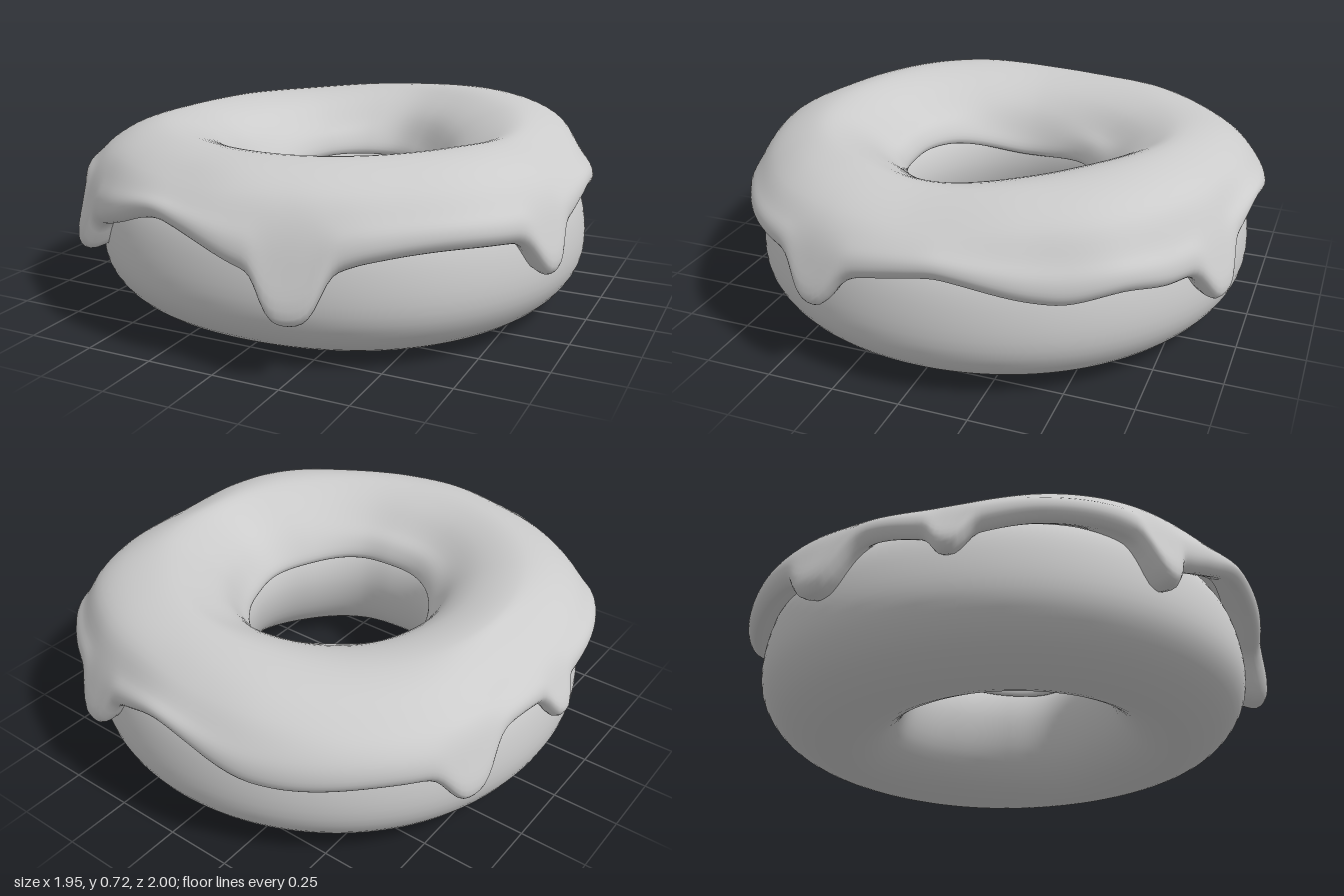
import * as THREE from 'three';

const SEGMENTS = 320;
const V = (x, y) => new THREE.Vector3(x, y, 0);

// Smooth periodic value through [degrees, value] pairs
function around(pairs) {
  return (deg) => {
    const n = pairs.length;
    let i = n - 1;
    while (i >= 0 && pairs[i][0] > deg) i--;
    const at = (k) => {
      const wrap = Math.floor(k / n);
      const p = pairs[k - wrap * n];
      return [p[0] + wrap * 360, p[1]];
    };
    const [p0, p1, p2, p3] = [at(i - 1), at(i), at(i + 1), at(i + 2)];
    const h = p2[0] - p1[0], t = (deg - p1[0]) / h;
    const m1 = (p2[1] - p0[1]) / (p2[0] - p0[0]) * h;
    const m2 = (p3[1] - p1[1]) / (p3[0] - p1[0]) * h;
    const t2 = t * t, t3 = t2 * t;
    return (2 * t3 - 3 * t2 + 1) * p1[1] + (t3 - 2 * t2 + t) * m1
      + (3 * t2 - 2 * t3) * p2[1] + (t3 - t2) * m2;
  };
}

// Sweep a changing cross-section (radius, height) around the y axis
function ring(name, profile, steps, closed) {
  const pos = [], index = [];
  const row = steps + 1;
  for (let i = 0; i < SEGMENTS; i++) {
    const deg = i / SEGMENTS * 360, a = THREE.MathUtils.degToRad(deg);
    const curve = new THREE.CatmullRomCurve3(profile(deg), closed);
    for (const p of curve.getPoints(steps)) pos.push(p.x * Math.cos(a), p.y, p.x * Math.sin(a));
    const next = (i + 1) % SEGMENTS;
    for (let j = 0; j < steps; j++) {
      const k = closed ? (j + 1) % steps : j + 1;
      const A = i * row + j, B = i * row + k, C = next * row + j, D = next * row + k;
      index.push(A, B, C, B, D, C);
    }
  }
  const geo = new THREE.BufferGeometry();
  geo.setAttribute('position', new THREE.Float32BufferAttribute(pos, 3));
  geo.setIndex(index);
  geo.computeVertexNormals();
  const mesh = new THREE.Mesh(geo, new THREE.MeshStandardMaterial({ color: 0xcccccc, roughness: 0.6, side: THREE.DoubleSide }));
  mesh.name = name;
  return mesh;
}

// Outlines of dough, icing and hole
const doughRadius = around([[0, 0.945], [45, 0.945], [90, 0.915], [140, 0.935], [180, 0.925], [220, 0.95], [270, 0.96], [320, 0.955]]);
const icingRadius = around([[0, 0.957], [20, 0.99], [36, 1.005], [55, 0.98], [75, 0.985], [90, 0.995], [105, 0.98],
  [120, 0.985], [140, 0.995], [155, 0.98], [180, 0.937], [195, 0.955], [212, 1.01], [230, 1.025], [250, 1.025],
  [265, 1.005], [280, 0.995], [300, 1.02], [318, 1.025], [335, 0.985]]);
const holeRadius = around([[10, 0.392], [35, 0.377], [65, 0.378], [85, 0.362], [109, 0.363], [143, 0.346], [175, 0.328],
  [205, 0.32], [237, 0.336], [262, 0.373], [278, 0.394], [294, 0.384], [318, 0.362], [345, 0.365]]);

// Heights of the icing: outer edge without drips, inner edge and crown
const edgeHeight = around([[0, 0.44], [12, 0.405], [20, 0.39], [30, 0.42], [45, 0.43], [60, 0.4], [68, 0.36], [75, 0.33],
  [84, 0.37], [96, 0.45], [106, 0.48], [120, 0.41], [130, 0.37], [145, 0.44], [160, 0.45], [178, 0.42], [195, 0.45],
  [207, 0.39], [225, 0.39], [250, 0.38], [271, 0.48], [286, 0.42], [306, 0.4], [317, 0.42], [330, 0.39], [352, 0.455]]);
const innerEdge = around([[0, 0.41], [60, 0.45], [120, 0.45], [175, 0.39], [240, 0.44], [300, 0.43]]);
const crown = around([[0, 0.672], [30, 0.685], [90, 0.68], [150, 0.685], [180, 0.668], [230, 0.66], [265, 0.69], [300, 0.715], [330, 0.7]]);

// Drips: angle, half width, drop, bulge, bluntness
const drips = [
  [20, 5.5, 0.11, 0.035, 2.6], [74.5, 6.3, 0.13, 0.035, 4], [134.5, 4, 0.13, 0.045, 3],
  [178, 4, 0.08, 0.043, 3], [207, 6, 0.11, 0.035, 3], [293, 5.5, 0.125, 0.04, 3],
];

function doughProfile(deg) {
  const d = doughRadius(deg), h = holeRadius(deg) + 0.018;
  return [
    V(0.66, 0), V(d - 0.2, 0.01), V(d - 0.075, 0.075), V(d - 0.004, 0.18), V(d, 0.32),
    V(d - 0.05, 0.47), V(d - 0.2, 0.6), V(0.62, 0.61), V(h + 0.12, 0.53),
    V(h + 0.025, 0.42), V(h, 0.3), V(h + 0.04, 0.15), V(h + 0.13, 0.05),
  ];
}

function icingProfile(deg) {
  const R = icingRadius(deg), h = holeRadius(deg);
  const base = edgeHeight(deg);
  let e = base, bulge = 0;
  for (const [at, width, drop, out, blunt] of drips) {
    const d = Math.abs(((deg - at + 540) % 360) - 180);
    const f = Math.exp(-Math.pow(d / width, blunt));
    e -= drop * f;
    bulge += out * f;
  }
  const top = crown(deg), low = e + 0.035, b = innerEdge(deg);
  const shoulder = 0.54 + 0.3 * (base - 0.4);
  return [
    V(doughRadius(deg) - 0.05, e + 0.03), V(R - 0.03 + bulge, e), V(R + bulge, low),
    V(R - 0.005 + bulge * 0.35, (low + shoulder) / 2), V(R - 0.04, shoulder), V(R - 0.1, top - 0.075),
    V(R - 0.2, top - 0.02), V(0.68, top), V(h + 0.2, top - 0.035), V(h + 0.095, top - 0.105),
    V(h + 0.03, b + 0.08), V(h, b + 0.02), V(h + 0.01, b - 0.005), V(h + 0.05, b + 0.01),
  ];
}

export function createModel() {
  const group = new THREE.Group();
  group.name = 'icedDoughnut';
  group.add(ring('dough', doughProfile, 52, true), ring('icing', icingProfile, 52, false));
  return group;
}
